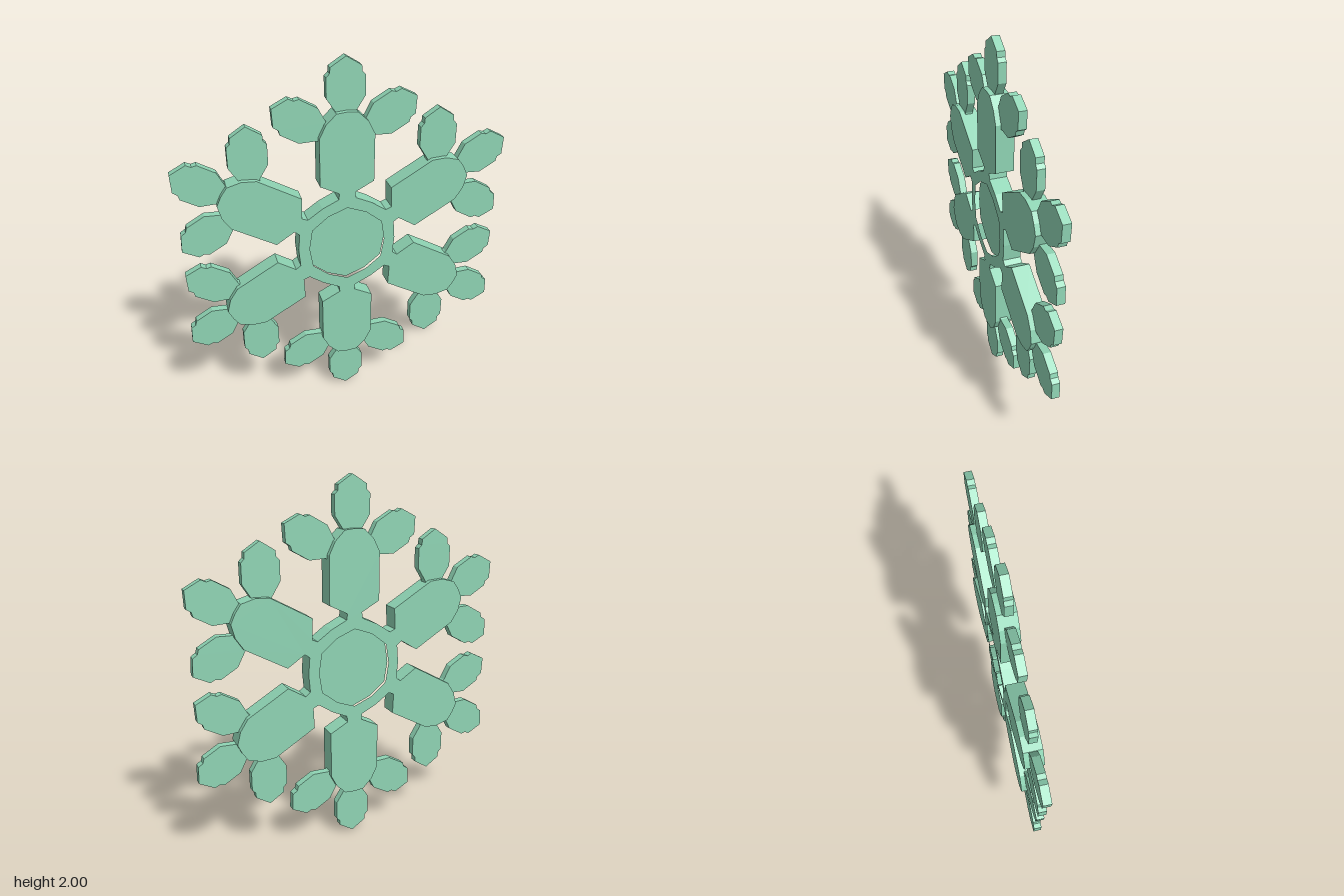
import * as THREE from 'three';

const material = new THREE.MeshStandardMaterial({ color: 0x8fd4b4, flatShading: true });

// Repeats one sector's points six times round the centre (clockwise from the top).
function sixfold(points) {
  const out = [];
  for (let i = 0; i < 6; i++) {
    const a = -i * Math.PI / 3;
    for (const [x, y] of points) out.push(new THREE.Vector2(x, y).rotateAround(new THREE.Vector2(), a));
  }
  return out;
}

// Adds the mirrored left half in front of a right-hand half outline.
function mirrored(half) {
  const left = half.filter(([x]) => x > 0).map(([x, y]) => [-x, y]).reverse();
  return [...left, ...half];
}

// Extrudes a shape centred on z = 0.
function slab(shape, thickness, name) {
  const geometry = new THREE.ExtrudeGeometry(shape, { depth: thickness, bevelEnabled: false });
  geometry.translate(0, 0, -thickness / 2);
  const mesh = new THREE.Mesh(geometry, material);
  mesh.name = name;
  return mesh;
}

export function createModel() {
  const model = new THREE.Group();
  model.name = 'snowflake';
  const flake = new THREE.Group();
  flake.name = 'flake';
  flake.position.y = 1;
  model.add(flake);

  // Thick hub and six arms, with a hole through the hub
  const armHalf = [
    [0, 0.737], [0.055, 0.732], [0.108, 0.68], [0.142, 0.612], [0.142, 0.355],
    [0.042, 0.303], [0.046, 0.27],
  ];
  const sector = [...mirrored(armHalf), [0.132, 0.229]];
  const body = new THREE.Shape(sixfold(sector));
  const ring = sixfold([[0, 0.217], [0.1025, 0.1775]]);
  body.holes.push(new THREE.Path(ring));
  flake.add(slab(body, 0.096, 'hubAndArms'));

  // Thin plate that closes the hole, leaving a recess on each face
  const plate = sixfold([[0, 0.225], [0.106, 0.184]]);
  flake.add(slab(new THREE.Shape(plate), 0.042, 'centrePlate'));

  // Thin stepped crystal tips: one at the end of each arm and one on each shoulder
  const tipHalf = [
    [0, 0.264], [0.078, 0.215], [0.08, 0.186], [0.098, 0.168], [0.098, 0.066], [0.052, -0.005], [0.05, -0.03],
  ];
  const tipShape = new THREE.Shape(mirrored(tipHalf).map(([x, y]) => new THREE.Vector2(x, y)));
  for (let i = 0; i < 6; i++) {
    const arm = new THREE.Group();
    arm.name = 'armTips' + (i + 1);
    arm.rotation.z = -i * Math.PI / 3;
    const endTip = slab(tipShape, 0.042, 'endTip');
    endTip.position.y = 0.736;
    arm.add(endTip);
    for (const side of [-1, 1]) {
      const sideTip = slab(tipShape, 0.042, 'sideTip');
      sideTip.position.set(side * 0.129, 0.641, 0);
      sideTip.rotation.z = -side * Math.PI / 3;
      sideTip.scale.y = 1.03;
      arm.add(sideTip);
    }
    flake.add(arm);
  }
  return model;
}
